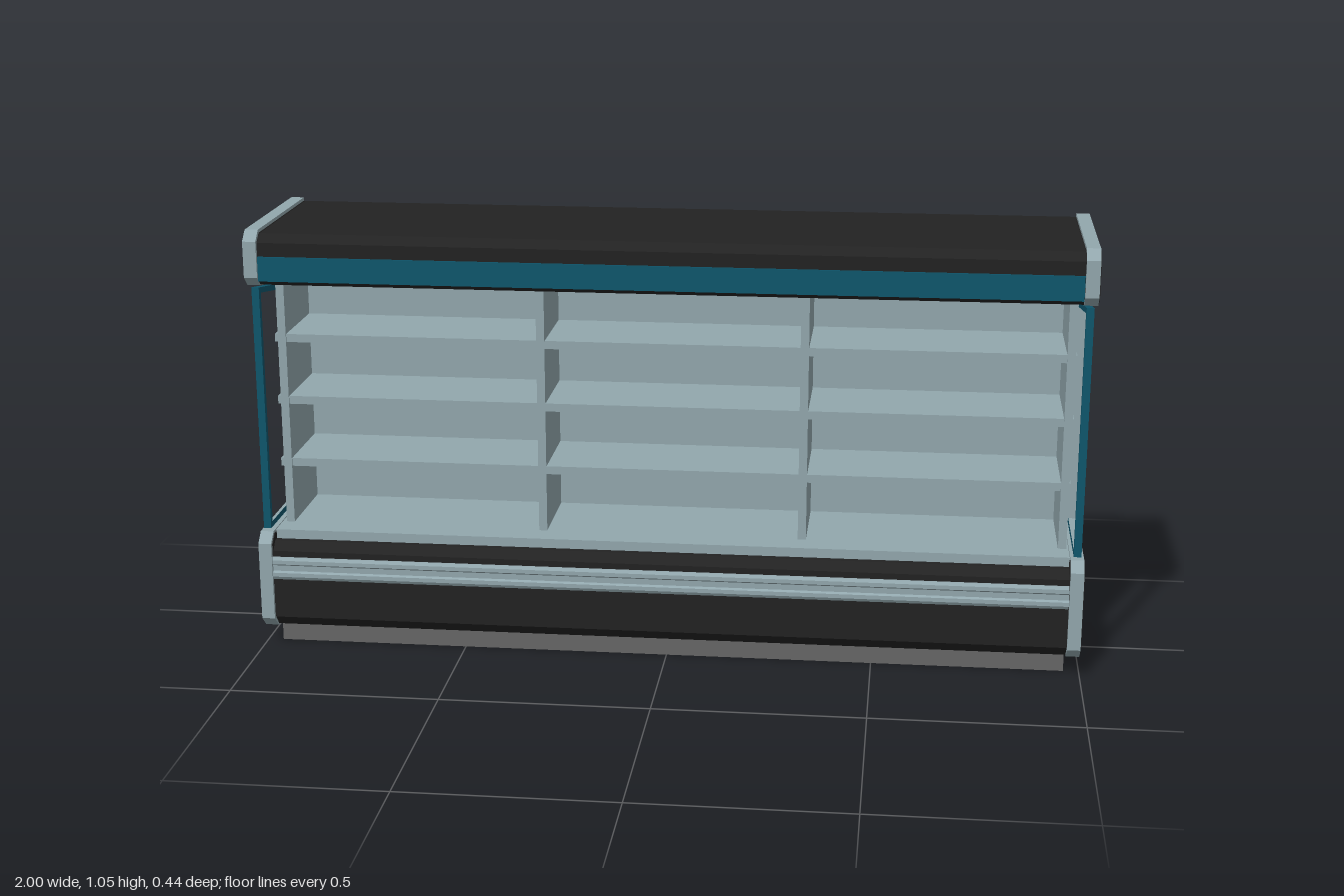
import * as THREE from 'three';

const paint = (name, color, side = THREE.FrontSide) => {
  const m = new THREE.MeshStandardMaterial({ color, side });
  m.name = name;
  return m;
};

export function createModel() {
  const group = new THREE.Group();
  const dark = paint('charcoal', 0x222222);
  const light = paint('paleGreyBlue', 0x92a7ad);
  const blue = paint('petrolBlue', 0x0e566c);
  const grey = paint('plinthGrey', 0x666666);

  const add = (name, geometry, material) => {
    const mesh = new THREE.Mesh(geometry, material);
    mesh.name = name;
    group.add(mesh);
    return mesh;
  };

  // Extrudes a side profile of [z, y] points from x0 to x1
  const profile = (name, pts, x0, x1, material, hole) => {
    const toV = ([z, y]) => new THREE.Vector2(-z, y);
    const shape = new THREE.Shape(pts.map(toV));
    if (hole) shape.holes.push(new THREE.Path(hole.map(toV)));
    const g = new THREE.ExtrudeGeometry(shape, { depth: x1 - x0, bevelEnabled: false });
    g.rotateY(Math.PI / 2).translate(x0, 0, 0);
    return add(name, g, material);
  };

  // Same, on both ends of the cabinet
  const bothEnds = (name, pts, x0, x1, material, hole) => {
    profile(name + 'Left', pts, x0, x1, material, hole);
    profile(name + 'Right', pts, -x1, -x0, material, hole);
  };

  const box = (name, x0, x1, y0, y1, z0, z1, material) => {
    const g = new THREE.BoxGeometry(x1 - x0, y1 - y0, z1 - z0);
    g.translate((x0 + x1) / 2, (y0 + y1) / 2, (z0 + z1) / 2);
    return add(name, g, material);
  };

  const W = 0.965; // half width between the end panels

  // End panels: pale core that shows as edge trim, dark skins on both faces
  const endOutline = [
    [-0.22, 1.046], [0.195, 1.046], [0.221, 1.022], [0.221, 0.935], [0.195, 0.912],
    [-0.12, 0.858], [-0.12, 0.294], [0.195, 0.294], [0.221, 0.27], [0.221, 0.076],
    [0.19, 0.048], [-0.22, 0.048],
  ];
  const skinOutline = [
    [-0.195, 1.038], [0.19, 1.038], [0.212, 1.018], [0.212, 0.932], [0.19, 0.905],
    [-0.125, 0.85], [-0.125, 0.288], [0.19, 0.288], [0.212, 0.267], [0.212, 0.08],
    [0.186, 0.056], [-0.195, 0.056],
  ];
  skinOutline[4] = [0.19, 0.918];
  skinOutline[5] = [-0.13, 0.863];
  skinOutline[6] = [-0.13, 0.287];
  bothEnds('endPanel', endOutline, 0.966, 0.998, light);
  bothEnds('endSkinOuter', skinOutline, 0.998, 1.0, dark);
  bothEnds('endSkinInner', skinOutline.map(([z, y]) => [z < -0.19 ? -0.215 : z, y]), 0.964, 0.966, dark);

  // Side window frames
  bothEnds('windowFrame',
    [[0.189, 0.905], [-0.119, 0.853], [-0.119, 0.3], [0.189, 0.3]], 0.973, 0.991, blue,
    [[0.174, 0.889], [-0.096, 0.842], [-0.096, 0.314], [0.174, 0.314]]);

  // Canopy: roof sheet with a deep front fascia and a blue band
  profile('canopy', [
    [-0.22, 1.037], [0.19, 1.037], [0.212, 1.018], [0.212, 0.926], [0.2, 0.915],
    [0.17, 0.915], [0.17, 1.022], [-0.22, 1.022],
  ], -W, W, dark);
  box('canopyBand', -W, W, 0.926, 0.985, 0.21, 0.217, blue);

  // Back liner, bevelled at the top and running forward as the ceiling
  profile('liner', [
    [-0.118, 0.27], [-0.118, 0.888], [-0.075, 0.938], [0.17, 0.938],
    [0.17, 0.926], [-0.07, 0.926], [-0.108, 0.882], [-0.108, 0.27],
  ], -W, W, light);

  // Floor deck
  box('deck', -W, W, 0.265, 0.293, -0.118, 0.175, light);

  // Uprights, poking slightly through liner and deck
  const upright = [
    [-0.128, 0.258], [-0.128, 0.892], [-0.08, 0.948], [-0.06, 0.948],
    [0.112, 0.926], [0.112, 0.258],
  ];
  const uprightX = [-0.945, -0.31, 0.325, 0.95];
  for (const x of uprightX) profile('upright', upright, x - 0.01, x + 0.01, light);

  // Shelves
  for (const y of [0.447, 0.606, 0.762])
    box('shelf', -0.963, 0.963, y - 0.01, y + 0.01, -0.11, 0.108, light);

  // Lower front: folded sheet, bumper rail and sloped sill
  profile('frontPanel', [
    [0.16, 0.052], [0.19, 0.052], [0.212, 0.078], [0.212, 0.235], [0.202, 0.235],
    [0.202, 0.083], [0.186, 0.062], [0.16, 0.062],
  ], -W, W, dark);
  profile('sill', [
    [0.212, 0.235], [0.212, 0.25], [0.19, 0.27], [0.165, 0.27], [0.165, 0.262], [0.198, 0.235],
  ], -W, W, dark);
  profile('bumperRail', [
    [0.21, 0.178], [0.216, 0.178], [0.221, 0.186], [0.221, 0.196], [0.216, 0.2],
    [0.216, 0.214], [0.221, 0.218], [0.221, 0.228], [0.216, 0.235], [0.21, 0.235],
  ], -W, W, light);
  box('railBacking', -W, W, 0.222, 0.236, 0.196, 0.203, light);

  // Plinth: front sheet and two side sheets, open at the back
  box('plinthFront', -0.963, 0.963, 0, 0.056, 0.155, 0.165, grey);
  for (const s of [-1, 1])
    box('plinthSide', s * 0.958 - 0.005, s * 0.958 + 0.005, 0, 0.05, -0.22, 0.155, grey);

  return group;
}
